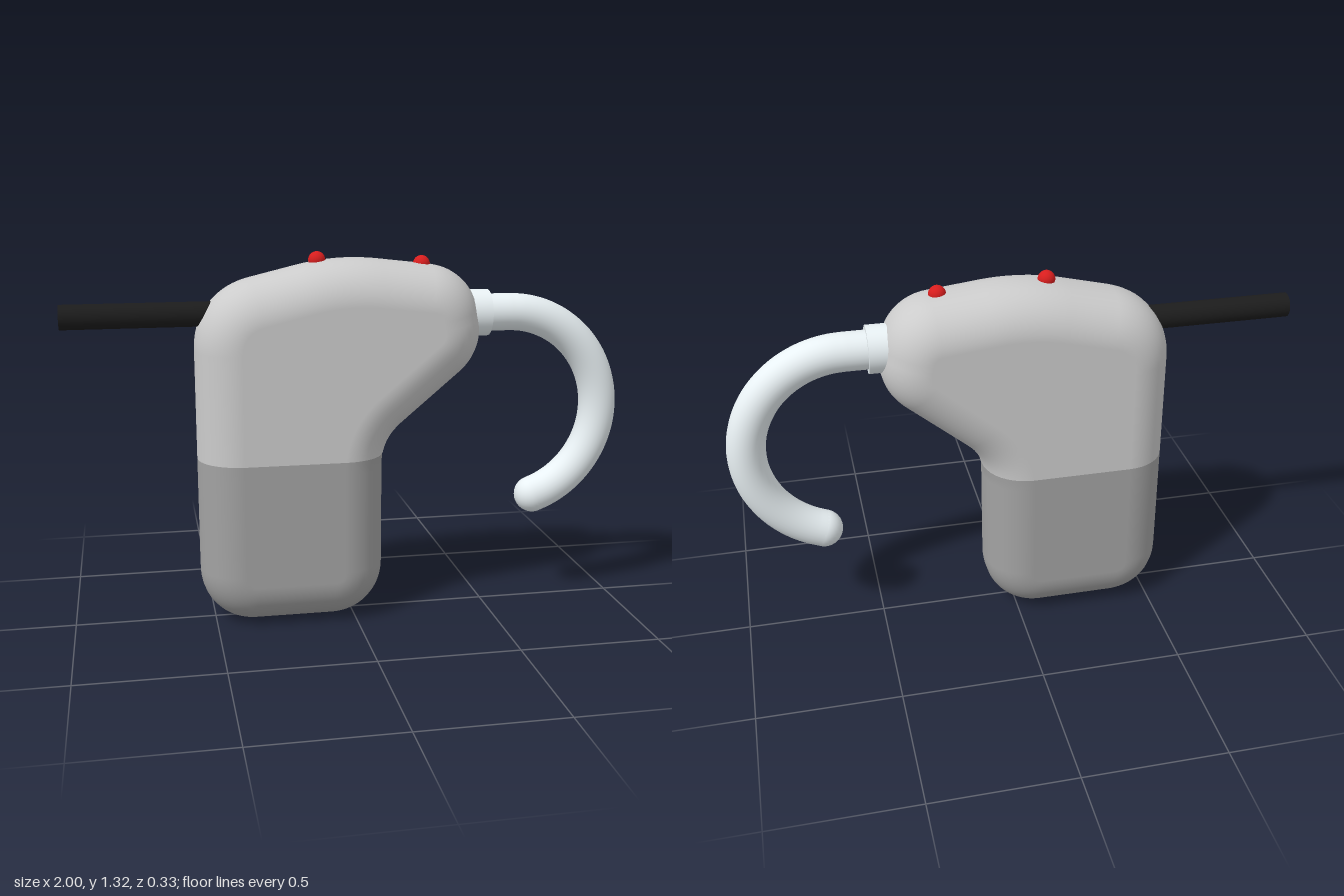
import * as THREE from 'three';

const SEAM = 0.6; // height where the lower case meets the upper case
const R = 0.155; // edge rounding
const FLAT = 0.012; // half thickness of the flat core

const V = (x, y) => new THREE.Vector2(x, y);

// Core outline, counter-clockwise from the left seam: [x, y, corner rounding]
const corners = [
  [-0.395, 0.155, 0.04], [-0.045, 0.155, 0.04], [-0.045, 0.719, 0.165],
  [0.312, 1.02, 0.03], [0.295, 1.11, 0.03], [-0.035, 1.148, 0.12], [-0.395, 1.062, 0.08],
];

// Samples the outline as points with outward normals
function outline() {
  const start = V(-0.395, SEAM);
  const pts = [{ p: start, n: V(-1, 0) }];
  corners.forEach(([x, y, r], i) => {
    const c = V(x, y);
    const prev = i ? V(...corners[i - 1]) : start;
    const next = i < corners.length - 1 ? V(...corners[i + 1]) : start;
    const a = prev.clone().sub(c).setLength(r).add(c);
    const b = next.clone().sub(c).setLength(r).add(c);
    const curve = new THREE.QuadraticBezierCurve(a, c, b);
    for (let k = 0; k <= 16; k++) {
      const t = curve.getTangent(k / 16);
      pts.push({ p: curve.getPoint(k / 16), n: V(t.y, -t.x) });
    }
  });
  pts.push({ p: start.clone(), n: V(-1, 0) });
  return pts;
}

// Rounded shell around a stretch of the outline, cut level at the seam
function shell(pts, clampY) {
  const M = 20, pos = [], nor = [], idx = [];
  for (const { p, n } of pts) {
    for (let j = 0; j <= M; j++) {
      const a = (j / M - 0.5) * Math.PI, c = Math.cos(a), s = Math.sin(a);
      const z = R * s + (j < M / 2 ? -FLAT : FLAT);
      pos.push(p.x + n.x * R * c, clampY(p.y + n.y * R * c), z);
      nor.push(n.x * c, n.y * c, s);
    }
  }
  const W = M + 1;
  for (let i = 0; i < pts.length - 1; i++) {
    for (let j = 0; j < M; j++) {
      const a = i * W + j, b = a + W;
      idx.push(a, b, b + 1, a, b + 1, a + 1);
    }
  }
  // flat side faces
  const flat = pts.map(({ p }) => p);
  for (const [a, b, c] of THREE.ShapeUtils.triangulateShape(flat, [])) {
    idx.push(a * W + M, b * W + M, c * W + M, c * W, b * W, a * W);
  }
  const g = new THREE.BufferGeometry();
  g.setAttribute('position', new THREE.Float32BufferAttribute(pos, 3));
  g.setAttribute('normal', new THREE.Float32BufferAttribute(nor, 3));
  g.setIndex(idx);
  return g;
}

export function createModel() {
  const group = new THREE.Group();
  const add = (name, geometry, color, x = 0, y = 0) => {
    const mesh = new THREE.Mesh(geometry, new THREE.MeshStandardMaterial({ color }));
    mesh.name = name;
    mesh.position.set(x, y, 0);
    group.add(mesh);
  };

  // Case, split at the seam into a darker lower and a lighter upper half
  const pts = outline();
  const k = pts.findIndex(({ p }, i) => i > 0 && p.y > SEAM);
  const f = (SEAM - pts[k - 1].p.y) / (pts[k].p.y - pts[k - 1].p.y);
  const cut = {
    p: pts[k - 1].p.clone().lerp(pts[k].p, f),
    n: pts[k - 1].n.clone().lerp(pts[k].n, f).normalize(),
  };
  const lower = shell([...pts.slice(0, k), cut], (y) => Math.min(y, SEAM));
  // bring the last row of the lower half level with the seam
  const lp = lower.attributes.position;
  for (let i = lp.count - 21; i < lp.count; i++) lp.setY(i, SEAM);
  add('lowerCase', lower, 0xa2a2a2);
  add('upperCase', shell([cut, ...pts.slice(k)], (y) => Math.max(y, SEAM)), 0xc8c8c8);

  // Cable leaving the right side
  const cable = new THREE.CylinderGeometry(0.043, 0.043, 0.58, 32).rotateZ(Math.PI / 2);
  add('cable', cable, 0x1c1c1c, -0.71, 1.11);

  // Collar and curved ear hook with a rounded tip
  const pale = 0xe8f0f3;
  const collar = new THREE.CylinderGeometry(0.083, 0.083, 0.12, 48).rotateZ(Math.PI / 2);
  add('collar', collar, pale, 0.44, 1.09);

  const end = -1.238, rad = 0.355, cx = 0.578, cy = 0.735;
  const hook = new THREE.CurvePath();
  const arc = [];
  for (let i = 0; i <= 24; i++) {
    const a = Math.PI / 2 + (end - Math.PI / 2) * (i / 24);
    arc.push(new THREE.Vector3(cx + rad * Math.cos(a), cy + rad * Math.sin(a), 0));
  }
  hook.add(new THREE.LineCurve3(new THREE.Vector3(0.42, 1.09, 0), arc[0]));
  hook.add(new THREE.CatmullRomCurve3(arc));
  add('earHook', new THREE.TubeGeometry(hook, 80, 0.067, 28), pale);
  const tip = arc[24];
  add('hookTip', new THREE.SphereGeometry(0.067, 28, 20), pale, tip.x, tip.y);

  // Red indicator beads on top
  for (const [name, x, y] of [['rearBead', -0.118, 1.288], ['frontBead', 0.255, 1.268]]) {
    add(name, new THREE.SphereGeometry(0.03, 24, 16), 0xd81e1e, x, y);
  }
  return group;
}
